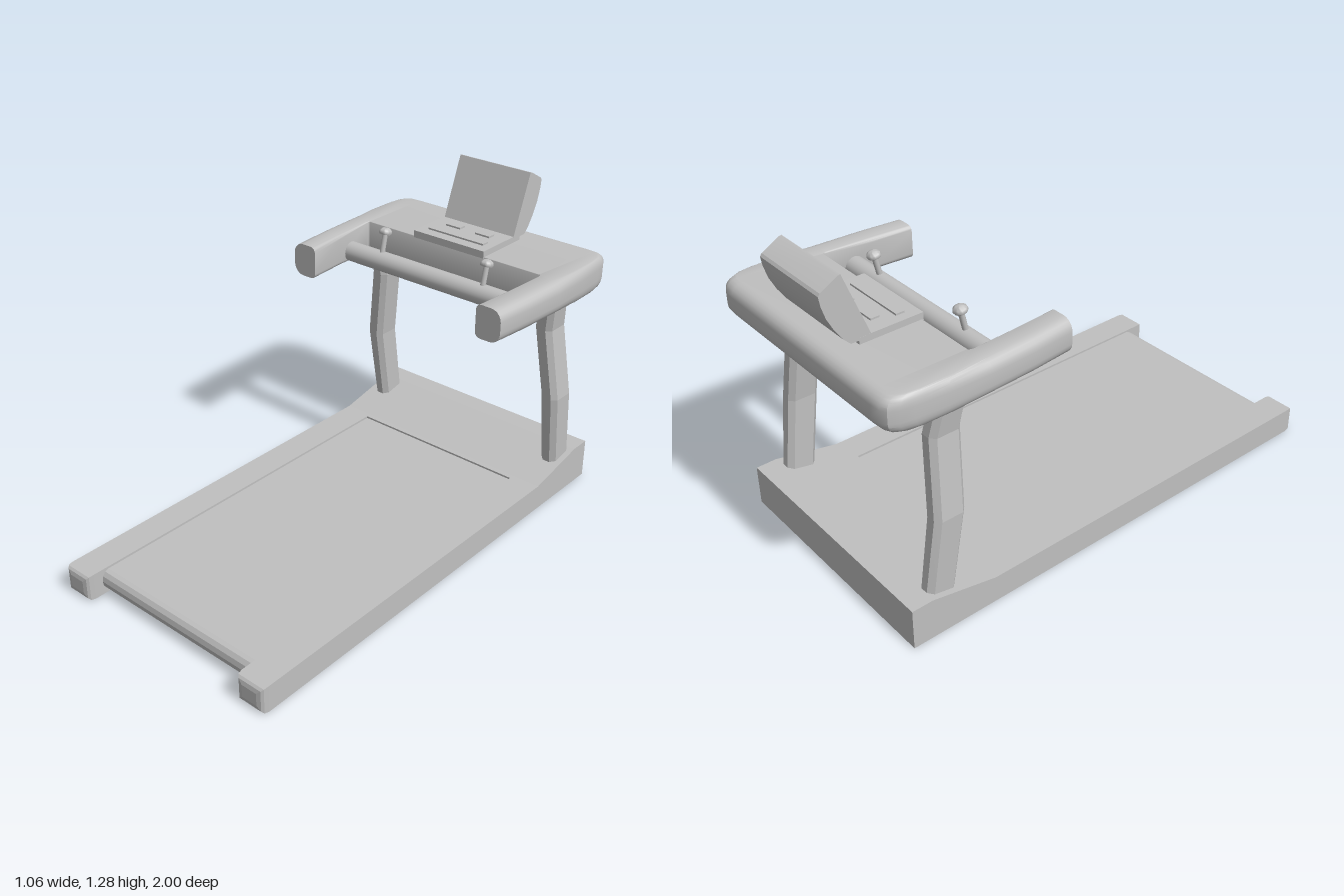
import * as THREE from 'three';
import { toCreasedNormals } from 'three/addons/utils/BufferGeometryUtils.js';

const grey = new THREE.MeshStandardMaterial({ color: 0xc0c0c0 });
grey.name = 'grey';

// Skin between equal-length rings of [x, y, z], with both ends closed
function loft(rings, crease = 0.1) {
  const n = rings[0].length, pos = rings.flat(2), idx = [];
  for (let r = 0; r < rings.length - 1; r++) {
    for (let i = 0; i < n; i++) {
      const a = r * n + i, b = r * n + (i + 1) % n;
      idx.push(a, b, b + n, a, b + n, a + n);
    }
  }
  const last = (rings.length - 1) * n;
  for (let i = 1; i < n - 1; i++) idx.push(0, i + 1, i, last, last + i, last + i + 1);
  // Turn the faces outward if the rings ran the other way
  const p = i => new THREE.Vector3().fromArray(pos, idx[i] * 3);
  let volume = 0;
  for (let i = 0; i < idx.length; i += 3) volume += p(i).dot(p(i + 1).cross(p(i + 2)));
  if (volume < 0) idx.reverse();
  const g = new THREE.BufferGeometry();
  g.setAttribute('position', new THREE.Float32BufferAttribute(pos, 3));
  g.setIndex(idx);
  return toCreasedNormals(g, crease);
}

// Side profile of [z, y] points extruded from x0 to x1
function profile(points, x0, x1, crease = 0.1) {
  const shape = new THREE.Shape(points.map(([z, y]) => new THREE.Vector2(z, y)));
  const g = new THREE.ExtrudeGeometry(shape, { depth: x1 - x0, bevelEnabled: false });
  g.rotateY(-Math.PI / 2).translate(x1, 0, 0);
  return toCreasedNormals(g, crease);
}

// Chamfered rectangle lying level at height y
function octagon(x, y, z, w, d) {
  const a = w / 2, b = d / 2, c = 0.02;
  return [[a, b - c], [a - c, b], [c - a, b], [-a, b - c], [-a, c - b], [c - a, -b], [a - c, -b], [a, c - b]]
    .map(([u, v]) => [x + u, y, z + v]);
}

// Upright rounded section between an inner and an outer plan point
function consoleRing([xi, zi], [xo, zo], ri) {
  const ro = 0.045, y0 = 0.88, y1 = 1.015, len = Math.hypot(xo - xi, zo - zi), ring = [];
  const corners = [[len - ro, y0 + ro, ro, -90], [len - ro, y1 - ro, ro, 0], [ri, y1 - ri, ri, 90], [ri, y0 + ri, ri, 180]];
  for (const [u, v, r, start] of corners) {
    for (let k = 0; k <= 5; k++) {
      const t = THREE.MathUtils.degToRad(start + k * 18);
      const s = (u + r * Math.cos(t)) / len;
      ring.push([xi + (xo - xi) * s, v + r * Math.sin(t), zi + (zo - zi) * s]);
    }
  }
  return ring;
}

export function createModel() {
  const model = new THREE.Group();
  model.name = 'treadmill';
  const add = (name, geometry, x = 0, y = 0, z = 0) => {
    const mesh = new THREE.Mesh(geometry, grey);
    mesh.name = name;
    mesh.position.set(x, y, z);
    model.add(mesh);
    return mesh;
  };

  // Deck: side rails, raised motor housing and running belt
  const rear = [[-0.6, 0.108], [-0.87, 0.165], [-0.955, 0.165], [-0.955, 0]];
  add('motorHousing', profile([[-0.58, 0], [-0.58, 0.108], ...rear], -0.387, 0.387));
  const belt = [[-0.585, 0.015], [-0.585, 0.1], [0.9, 0.1]];
  for (let k = 1; k <= 6; k++) {
    const t = Math.PI / 2 - k * Math.PI / 6;
    belt.push([0.9 + 0.032 * Math.cos(t), 0.0575 + 0.0425 * Math.sin(t)]);
  }
  add('runningBelt', profile(belt, -0.386, 0.386));

  for (const s of [1, -1]) {
    const side = s > 0 ? 'left' : 'right';
    const edges = [0.387 * s, 0.51 * s].sort((a, b) => a - b);
    add(side + 'Rail', profile([[0.97, 0], [0.97, 0.108], ...rear], ...edges));

    // Pillowed end cap of the rail
    const cap = [[0.97, 0], [0.988, 0.003], [0.996, 0.011], [1, 0.028]].map(([z, i]) => [
      [edges[0] + i, i, z], [edges[1] - i, i, z], [edges[1] - i, 0.108 - i, z], [edges[0] + i, 0.108 - i, z]]);
    add(side + 'RailCap', loft(cap));

    // Bent upright
    const post = [[0.45, 0.13, -0.808, 0.07, 0.12], [0.457, 0.455, -0.763, 0.076, 0.125],
      [0.418, 0.76, -0.74, 0.076, 0.125], [0.438, 0.9, -0.717, 0.074, 0.12]];
    add(side + 'Upright', loft(post.map(([x, y, z, w, d]) => octagon(x * s, y, z, w, d))));

    // Mushroom-headed control stick on the handlebar
    const stick = new THREE.Group();
    stick.name = side + 'ControlStick';
    const stem = new THREE.Mesh(new THREE.CylinderGeometry(0.011, 0.011, 0.1, 16), grey);
    stem.name = 'stem';
    stem.position.y = 0.05;
    const head = new THREE.Mesh(toCreasedNormals(new THREE.LatheGeometry(
      [[0, 0], [0.024, 0.001], [0.027, 0.007], [0.024, 0.017], [0.014, 0.025], [0, 0.028]]
        .map(([x, y]) => new THREE.Vector2(x, y)), 20), 0.9), grey);
    head.name = 'head';
    head.position.y = 0.092;
    stick.add(stem, head);
    stick.position.set(0.25 * s, 0.945, -0.5);
    stick.rotation.x = -0.22;
    model.add(stick);
  }

  // U-shaped console with two forward arms: inner point, outer point, inner edge radius
  const half = [
    [[0.395, -0.257], [0.505, -0.257], 0.022],
    [[0.41, -0.42], [0.52, -0.42], 0.018],
    [[0.425, -0.61], [0.529, -0.61], 0.008],
    [[0.425, -0.62], [0.526, -0.78], 0.004],
    [[0.425, -0.622], [0.517, -0.9], 0.003],
    [[0.424, -0.623], [0.508, -0.95], 0.003],
    [[0.423, -0.624], [0.49, -0.983], 0.003],
    [[0.422, -0.625], [0.465, -0.995], 0.003],
    [[0.42, -0.625], [0.42, -0.998], 0.003],
  ];
  const mirrored = half.map(([[a, b], [c, d], r]) => [[-a, b], [-c, d], r]).reverse();
  add('console', loft([...half, ...mirrored].map(p => consoleRing(...p)), 0.6));

  // Handlebar between the arms
  const bar = new THREE.CylinderGeometry(0.041, 0.041, 0.83, 32);
  add('handlebar', bar.rotateZ(Math.PI / 2), 0, 0.923, -0.502);

  // Control panel with buttons
  add('controlPanel', new THREE.BoxGeometry(0.345, 0.03, 0.25), -0.008, 1.025, -0.745);
  add('buttonStrip', new THREE.BoxGeometry(0.27, 0.008, 0.035), -0.008, 1.043, -0.685);
  for (const x of [-0.08, 0.065]) add('button', new THREE.BoxGeometry(0.07, 0.008, 0.035), x, 1.043, -0.765);

  // Tilted display with a curved back
  add('display', profile([[-0.82, 1.03], [-0.916, 1.285], [-0.925, 1.283], [-0.993, 1.245], [-1, 1.235],
    [-0.995, 1.2], [-0.98, 1.15], [-0.955, 1.1], [-0.925, 1.055], [-0.9, 1.03]], -0.18, 0.165, 0.45));

  return model;
}
